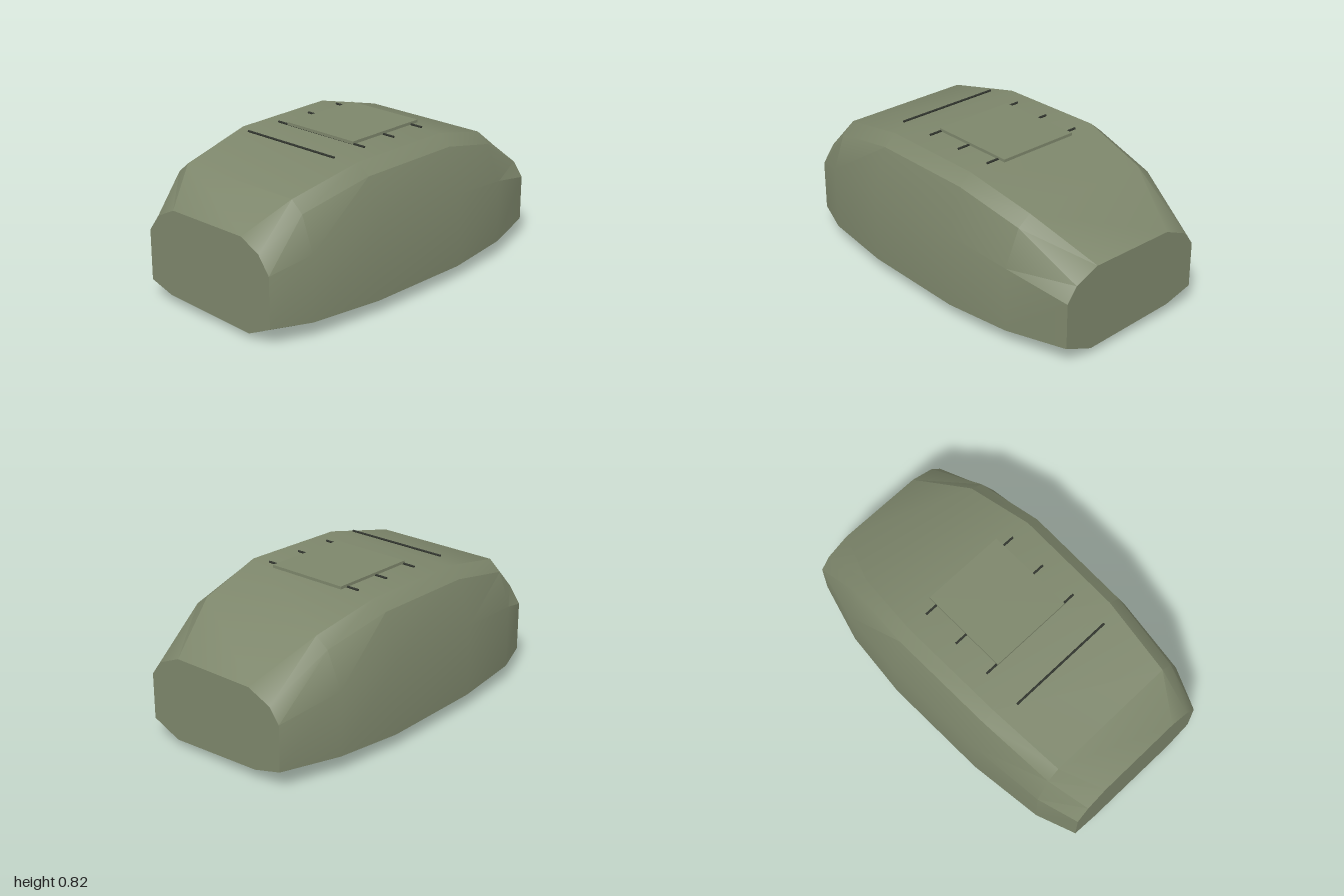
import * as THREE from 'three';
import { toCreasedNormals } from 'three/addons/utils/BufferGeometryUtils.js';

const hullGreen = new THREE.MeshStandardMaterial({ color: 0x7d866b });
hullGreen.name = 'hullGreen';
const darkMetal = new THREE.MeshStandardMaterial({ color: 0x30342d });
darkMetal.name = 'darkMetal';

// Cross-sections along x: half widths (w) and heights (y) from belly to roof
const stations = [
  { x: -1.0, w: [0.29, 0.44, 0.44, 0.37, 0.25], y: [0.03, 0.1, 0.38, 0.475, 0.535] },
  { x: -0.78, w: [0.35, 0.52, 0.52, 0.45, 0.38], y: [0.015, 0.088, 0.45, 0.64, 0.7] },
  { x: -0.35, w: [0.385, 0.57, 0.57, 0.49, 0.42], y: [0.002, 0.077, 0.485, 0.73, 0.79] },
  { x: 0.27, w: [0.39, 0.58, 0.58, 0.5, 0.43], y: [0, 0.075, 0.49, 0.735, 0.795] },
  { x: 0.66, w: [0.36, 0.545, 0.545, 0.46, 0.385], y: [0.015, 0.09, 0.45, 0.645, 0.7] },
  { x: 1.0, w: [0.28, 0.45, 0.45, 0.39, 0.25], y: [0.035, 0.105, 0.36, 0.44, 0.5] },
];

// Ring of ten points: up the +z side, across the roof, down the -z side
function ring({ x, w, y }) {
  const front = w.map((z, i) => [x, y[i], z]);
  const back = w.map((z, i) => [x, y[i] + (i === 0 ? 0.025 : 0), -z]).reverse();
  return [...front, ...back];
}

function hullGeometry() {
  const rings = stations.map(ring);
  const n = rings[0].length;
  const pos = [];
  const tri = (a, b, c) => pos.push(...a, ...b, ...c);
  for (let i = 0; i < rings.length - 1; i++) {
    for (let j = 0; j < n; j++) {
      const k = (j + 1) % n;
      const a = rings[i][j], b = rings[i + 1][j], c = rings[i + 1][k], d = rings[i][k];
      tri(a, b, c);
      tri(a, c, d);
    }
  }
  // Flat end caps
  const first = rings[0], last = rings[rings.length - 1];
  for (let j = 1; j < n - 1; j++) {
    tri(first[0], first[j], first[j + 1]);
    tri(last[0], last[j + 1], last[j]);
  }
  const geometry = new THREE.BufferGeometry();
  geometry.setAttribute('position', new THREE.Float32BufferAttribute(pos, 3));
  return toCreasedNormals(geometry, THREE.MathUtils.degToRad(30));
}

export function createModel() {
  const model = new THREE.Group();
  model.name = 'armouredHull';

  const add = (name, geometry, material, x, y, z) => {
    const mesh = new THREE.Mesh(geometry, material);
    mesh.name = name;
    mesh.position.set(x, y, z);
    model.add(mesh);
    return mesh;
  };

  add('hull', hullGeometry(), hullGreen, 0, 0, 0);

  // Raised roof hatch
  add('roofHatch', new THREE.BoxGeometry(0.51, 0.016, 0.48), hullGreen, 0.06, 0.81, 0);

  // Thin rods: three under the hatch, one standing free
  const rod = new THREE.CylinderGeometry(0.006, 0.006, 0.625, 8).rotateX(Math.PI / 2);
  [-0.187, 0.04, 0.264].forEach((x) => add('hatchRod', rod, darkMetal, x, 0.803, 0));
  add('roofRod', rod, darkMetal, -0.412, 0.803, 0);

  return model;
}
